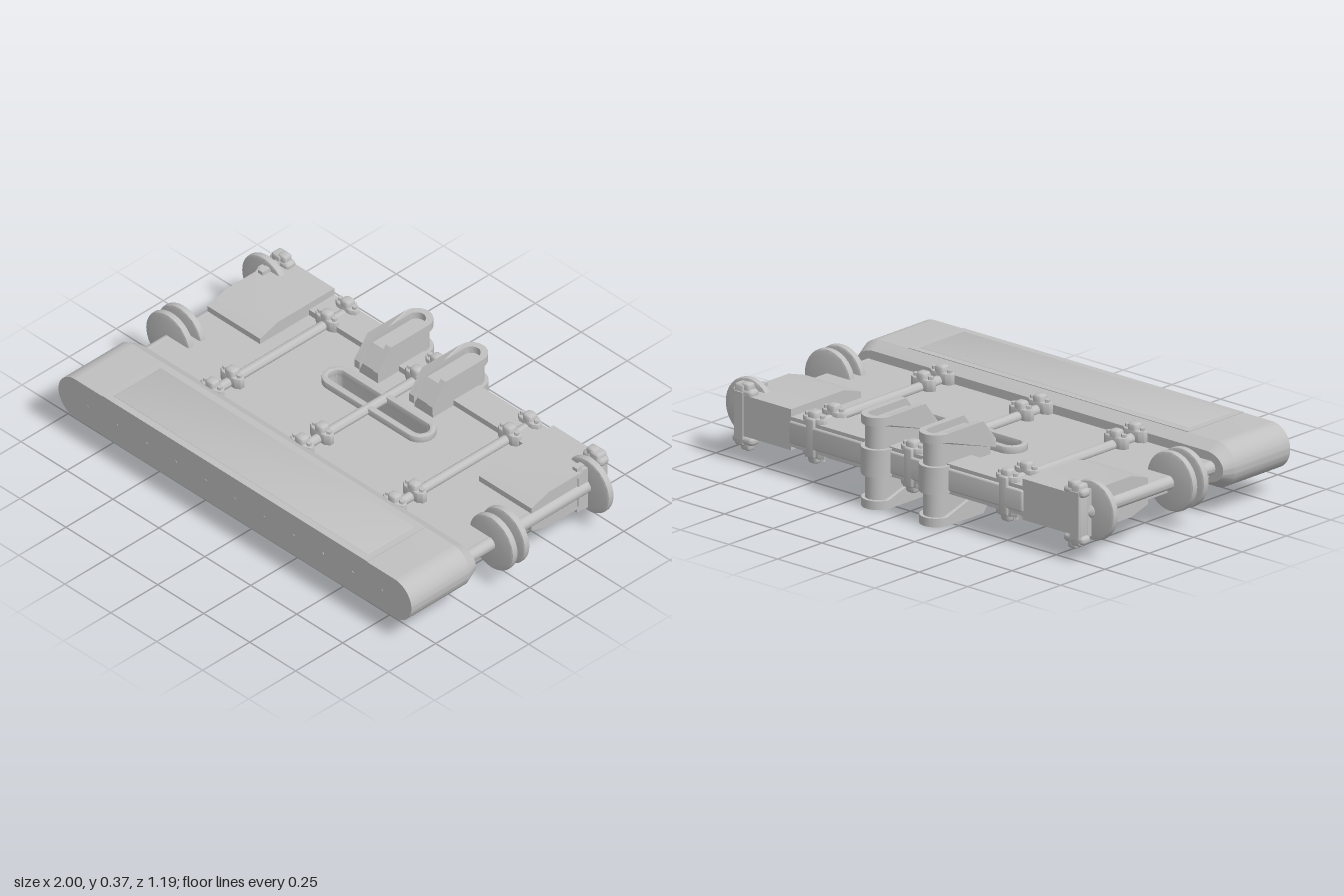
import * as THREE from 'three';
import { toCreasedNormals } from 'three/addons/utils/BufferGeometryUtils.js';
import { RoundedBoxGeometry } from 'three/addons/geometries/RoundedBoxGeometry.js';

const CENTRE_Y = 0.19; // the machine is symmetric above and below this height

// Reflected copy of a geometry with the winding restored
function mirror(geo, sx, sy) {
  const g = geo.index ? geo.toNonIndexed() : geo.clone();
  g.scale(sx, sy, 1);
  if (sx * sy > 0) return g;
  for (const name of ['position', 'normal']) {
    const a = g.attributes[name];
    for (let i = 0; i < a.count; i += 3) {
      const p = [a.getX(i + 1), a.getY(i + 1), a.getZ(i + 1)];
      a.setXYZ(i + 1, a.getX(i + 2), a.getY(i + 2), a.getZ(i + 2));
      a.setXYZ(i + 2, ...p);
    }
  }
  return g;
}

// Stadium outline, half length hx, half height r
function stadium(hx, r, Type = THREE.Shape) {
  const s = new Type();
  s.moveTo(-hx + r, -r);
  s.lineTo(hx - r, -r);
  s.absarc(hx - r, 0, r, -Math.PI / 2, Math.PI / 2, false);
  s.lineTo(-hx + r, r);
  s.absarc(-hx + r, 0, r, Math.PI / 2, Math.PI * 1.5, false);
  return s;
}

const polygon = (pts) => new THREE.Shape(pts.map((p) => new THREE.Vector2(...p)));

function extrude(shape, depth, bevel = 0) {
  return new THREE.ExtrudeGeometry(shape, {
    depth: depth - 2 * bevel, curveSegments: 20, bevelEnabled: bevel > 0,
    bevelSize: bevel, bevelThickness: bevel, bevelOffset: -bevel, bevelSegments: 2,
  }).translate(0, 0, bevel);
}

// Extrusion upward from y0 of an outline drawn in x and z
const raise = (shape, y0, height, bevel = 0) =>
  extrude(shape, height, bevel).rotateX(Math.PI / 2).translate(0, y0 + height, 0);

// Extrusion across x of an outline drawn in z and y
const across = (shape, width) =>
  extrude(shape, width).translate(0, 0, -width / 2).rotateY(-Math.PI / 2);

const box = (w, h, d, x, y, z) => new THREE.BoxGeometry(w, h, d).translate(x, y, z);
const pad = (w, h, d, r, x, y, z) => new RoundedBoxGeometry(w, h, d, 2, r).translate(x, y, z);

export function createModel() {
  const model = new THREE.Group();
  const body = new THREE.Group();
  body.name = 'body';
  body.position.y = CENTRE_Y;
  model.add(body);
  const grey = new THREE.MeshStandardMaterial({ color: 0xc0c0c0 });
  grey.name = 'grey';

  const add = (name, geo) => {
    const mesh = new THREE.Mesh(toCreasedNormals(geo, 0.6), grey);
    mesh.name = name;
    body.add(mesh);
  };
  const topAndBottom = (name, geo) => [1, -1].forEach((s) => add(name, mirror(geo, 1, s)));
  const bothSides = (name, geo) => [1, -1].forEach((s) => add(name, mirror(geo, s, 1)));
  const fourCorners = (name, geo) => [1, -1].forEach((s) => bothSides(name, mirror(geo, 1, s)));

  // Thin deck with a slot cut right through
  const deck = polygon([[-0.87, -0.5], [0.87, -0.5], [0.87, 0.25], [-0.87, 0.25]]);
  deck.holes.push(new THREE.Path(stadium(0.262, 0.036, THREE.Path).getPoints(16)
    .map((p) => new THREE.Vector2(p.x, p.y - 0.175))));
  add('deck', raise(deck, -0.035, 0.07));

  // Raised rim of the slot
  const rim = stadium(0.285, 0.063);
  rim.holes.push(stadium(0.262, 0.036, THREE.Path));
  topAndBottom('slotRim', raise(rim, 0.025, 0.038, 0.004).translate(0, 0, -0.175));

  // Rear beam
  add('rearBeam', box(1.24, 0.12, 0.135, 0, 0, -0.4525));
  add('rearBeamFace', pad(1.2, 0.09, 0.03, 0.008, 0, 0, -0.515));

  // Front roller housing with a tapered back
  add('frontBar', extrude(stadium(0.96, 0.092), 0.31).translate(0, 0.008, 0.28));
  const taper = extrude(stadium(0.96, 0.092), 0.05).translate(0, 0, 0.23);
  const tp = taper.attributes.position;
  for (let i = 0; i < tp.count; i++) {
    if (tp.getZ(i) < 0.25) tp.setXY(i, tp.getX(i) * 0.982, tp.getY(i) * 0.68);
  }
  taper.computeVertexNormals();
  add('frontBarTaper', taper.translate(0, 0.008, 0));
  for (const y of [0.1, -0.084]) {
    add('frontBarPanel', box(1.44, 0.005, 0.31, 0, y, 0.435));
    add('frontBarInset', pad(1.38, 0.008, 0.25, 0.003, 0, y, 0.435));
  }
  // Row of rivets on the front face
  for (let i = 0; i < 11; i++) {
    add('rivet', new THREE.CylinderGeometry(0.005, 0.005, 0.004, 8)
      .rotateX(Math.PI / 2).translate(-0.8 + i * 0.16, 0.008, 0.59));
  }

  // Side tubes with pointed rear ends
  const tube = [[0, -0.48], [0.028, -0.455], [0.028, 0.25], [0, 0.25]]
    .map((p) => new THREE.Vector2(...p));
  bothSides('sideTube', new THREE.LatheGeometry(tube, 20)
    .rotateX(Math.PI / 2).translate(0.875, 0.008, 0));

  // Round flanges on the side tubes
  const flange = new THREE.Shape().absarc(0, 0, 0.12, 0, Math.PI * 2, false);
  for (const z of [0.075, 0.012, -0.435]) {
    bothSides('flange', extrude(flange, 0.03, 0.009).translate(0.88, 0.011, z - 0.015));
  }

  // Wedge shaped side boxes at the rear
  const wedge = polygon([[-0.52, -0.075], [-0.22, -0.075], [-0.125, -0.047],
    [-0.125, 0.06], [-0.22, 0.09], [-0.52, 0.09]]);
  bothSides('sideBox', across(wedge, 0.285).translate(0.738, 0, 0));

  // Rear corner brackets
  const bracket = polygon([[-0.525, -0.09], [-0.4, -0.09], [-0.37, -0.06],
    [-0.37, 0.075], [-0.4, 0.1], [-0.525, 0.1]]);
  bothSides('cornerBracket', across(bracket, 0.045).translate(0.863, 0, 0));
  bothSides('cornerStrap', pad(0.05, 0.25, 0.05, 0.01, 0.865, 0.005, -0.495));
  fourCorners('cornerClamp', pad(0.105, 0.035, 0.05, 0.015, 0.852, 0.095, -0.495));
  fourCorners('cornerBolt', pad(0.045, 0.05, 0.04, 0.01, 0.84, 0.11, -0.495));
  fourCorners('cornerRod', box(0.025, 0.03, 0.12, 0.855, 0.09, -0.44));

  // Long rods held by bolted clamps, above and below the deck
  const ear = polygon([[-0.055, -0.01], [-0.035, -0.023], [0.035, -0.023], [0.055, -0.01],
    [0.055, 0.01], [0.035, 0.023], [-0.035, 0.023], [-0.055, 0.01]]);
  for (const x of [-0.5, -0.012, 0.492]) {
    topAndBottom('rod', new THREE.CylinderGeometry(0.02, 0.02, 0.76, 14)
      .rotateX(Math.PI / 2).translate(x, 0.046, -0.135));
    for (const z of [-0.497, -0.39, 0.115, 0.22]) {
      topAndBottom('clampFoot', raise(ear, 0.03, 0.05, 0.004).translate(x, 0, z));
      topAndBottom('clampSaddle', pad(0.048, 0.075, 0.046, 0.014, x, 0.068, z));
      for (const dx of [-0.038, 0.038]) {
        topAndBottom('clampBolt', new THREE.CylinderGeometry(0.011, 0.011, 0.02, 6)
          .translate(x + dx, 0.082, z));
      }
    }
    add('rearStrap', pad(0.045, 0.16, 0.025, 0.008, x, 0, -0.518));
  }

  // Rear lugs: U shaped rims bending down at the front, on a post with a collar
  const uRim = new THREE.Shape();
  uRim.moveTo(-0.064, -0.26);
  uRim.lineTo(-0.064, -0.33);
  uRim.lineTo(-0.064, -0.528);
  uRim.absarc(0, -0.528, 0.064, Math.PI, Math.PI * 2, false);
  uRim.lineTo(0.064, -0.33);
  uRim.lineTo(0.064, -0.26);
  uRim.lineTo(0.036, -0.26);
  uRim.lineTo(0.036, -0.33);
  uRim.lineTo(0.036, -0.528);
  uRim.absarc(0, -0.528, 0.036, 0, -Math.PI, true);
  uRim.lineTo(-0.036, -0.33);
  uRim.lineTo(-0.036, -0.26);
  const rimGeo = raise(uRim, 0.15, 0.035);
  const rp = rimGeo.attributes.position;
  for (let i = 0; i < rp.count; i++) {
    rp.setY(i, rp.getY(i) - Math.max(0, rp.getZ(i) + 0.33) * 1.25);
  }
  rimGeo.computeVertexNormals();
  const web = polygon([[-0.54, 0], [-0.275, 0], [-0.275, 0.085], [-0.33, 0.155], [-0.54, 0.155]]);
  for (const x of [-0.157, 0.141]) {
    topAndBottom('lugRim', rimGeo.clone().translate(x, 0, 0));
    topAndBottom('lugWeb', across(web, 0.1).translate(x, 0, 0));
    add('lugPost', new THREE.CylinderGeometry(0.05, 0.05, 0.31, 24).translate(x, 0, -0.528));
    add('lugCollar', new THREE.CylinderGeometry(0.066, 0.066, 0.11, 28).translate(x, 0, -0.528));
  }
  return model;
}
